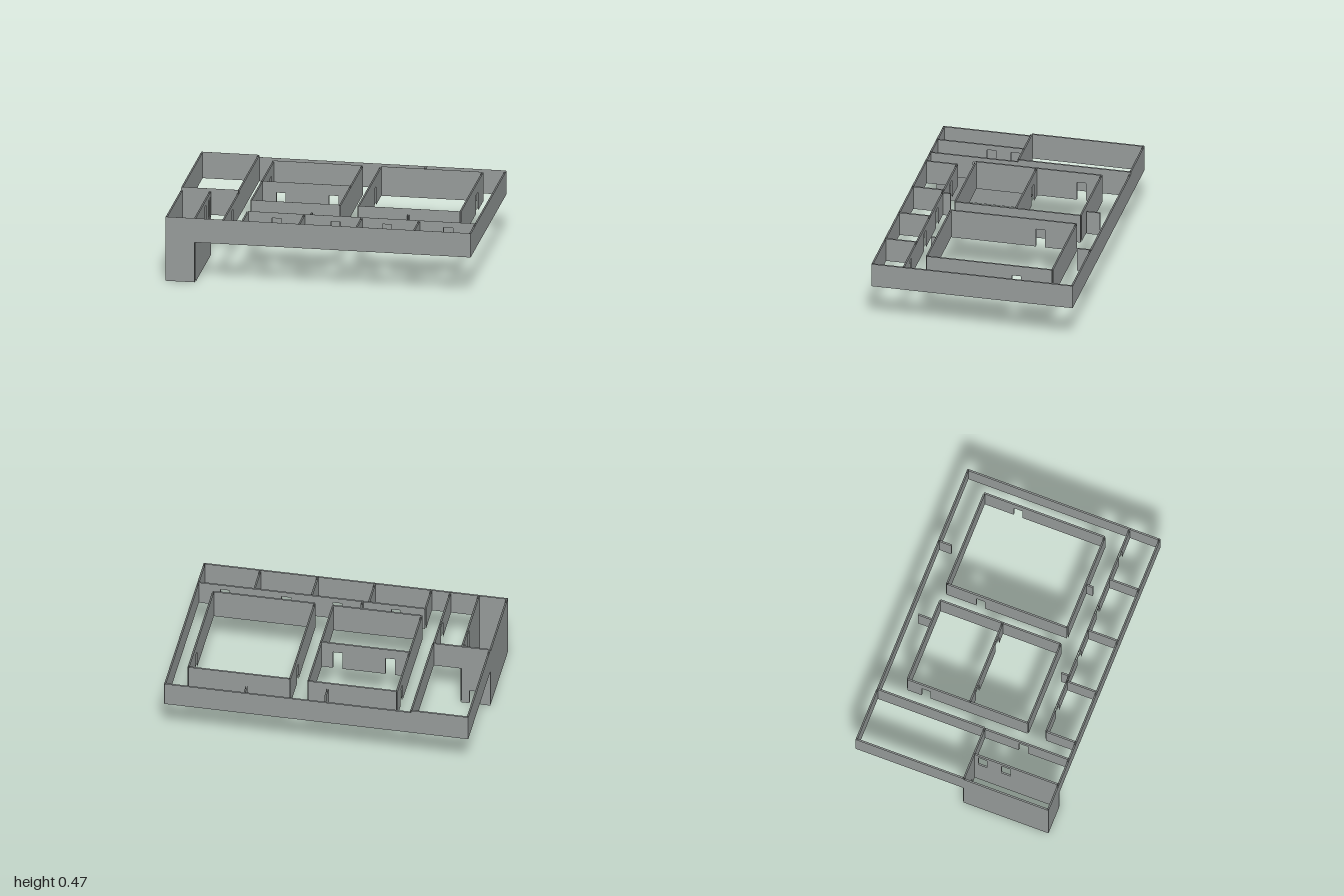
import * as THREE from 'three';

const T = 0.01; // wall thickness
const FLOOR = 0.27, LOW = 0.43, MID = 0.445, HIGH = 0.465;

export function createModel() {
  const model = new THREE.Group();
  const concrete = new THREE.MeshStandardMaterial({ color: 0x959a99, side: THREE.DoubleSide });
  concrete.name = 'concrete grey';

  // Outline in the wall plane; doors are notches in the bottom edge: [centre, width, height]
  function panel(a, b, y0, y1, doors) {
    const s = new THREE.Shape();
    s.moveTo(a, y0);
    for (const [c, w, h] of [...doors].sort((p, q) => p[0] - q[0])) {
      s.lineTo(c - w / 2, y0);
      s.lineTo(c - w / 2, y0 + h);
      s.lineTo(c + w / 2, y0 + h);
      s.lineTo(c + w / 2, y0);
    }
    s.lineTo(b, y0);
    s.lineTo(b, y1);
    s.lineTo(a, y1);
    s.closePath();
    return new THREE.ShapeGeometry(s);
  }

  // Uncapped wall of two sheets; axis 'x' runs along x at z = at, axis 'z' along z at x = at
  function wall(name, axis, at, a, b, y1, doors = [], y0 = FLOOR) {
    const g = new THREE.Group();
    g.name = name;
    for (const side of [-1, 1]) {
      const geo = axis === 'x'
        ? panel(a, b, y0, y1, doors)
        : panel(-b, -a, y0, y1, doors.map(([c, w, h]) => [-c, w, h])).rotateY(Math.PI / 2);
      if (side < 0) {
        // turn the back sheet to face outward
        const i = geo.index.array;
        for (let k = 0; k < i.length; k += 3) [i[k], i[k + 1]] = [i[k + 1], i[k]];
        geo.computeVertexNormals();
      }
      const off = at + side * T / 2;
      geo.translate(axis === 'x' ? 0 : off, 0, axis === 'x' ? off : 0);
      const mesh = new THREE.Mesh(geo, concrete);
      mesh.name = name + (side > 0 ? ' positive face' : ' negative face');
      g.add(mesh);
    }
    model.add(g);
  }

  const door = (c) => [c, 0.06, 0.125];
  const X0 = -0.995, X1 = 0.987, Z = 0.66;

  // Outer walls
  wall('frontWall', 'x', Z, -1, 0.99, LOW);
  wall('backWall', 'x', -Z, -0.625, 0.99, LOW);
  wall('backWallRaised', 'x', -Z, -1, -0.625, MID);
  wall('leftWall', 'z', X1, -0.665, 0.665, LOW);
  wall('rightWallFront', 'z', X0, 0.08, 0.665, LOW);
  wall('rightWallBack', 'z', X0, -0.665, 0.08, MID);

  // Lower stair shaft at the front right corner
  wall('shaftFront', 'x', Z, -1, -0.81, FLOOR, [], 0);
  wall('shaftBack', 'x', 0.08, -1, -0.81, FLOOR, [[-0.9, 0.07, 0.1]], 0);
  wall('shaftOuterSide', 'z', X0, 0.08, 0.665, FLOOR, [], 0);
  wall('shaftInnerSide', 'z', -0.81, 0.08, 0.665, FLOOR, [], 0);

  // Right wing partitions
  wall('wingCrossWall', 'x', 0.08, -1, -0.625, MID);
  wall('wingInnerWall', 'z', -0.81, 0.08, 0.665, LOW, [door(0.14), door(0.3)]);
  wall('wingLongWallBack', 'z', -0.625, -0.665, 0.08, MID);
  wall('wingLongWallFront', 'z', -0.625, 0.08, 0.665, LOW, [door(0.35)]);

  // Two raised blocks surrounded by the corridor
  const blocks = [
    ['middleBlock', -0.5, 0.08, [door(-0.37)], []],
    ['leftBlock', 0.2, 0.865, [door(-0.265)], [door(-0.265)]],
  ];
  for (const [name, a, b, doorsA, doorsB] of blocks) {
    wall(name + 'Front', 'x', 0.33, a, b, HIGH);
    wall(name + 'Back', 'x', -0.5, a, b, HIGH);
    wall(name + 'RightSide', 'z', a, -0.5, 0.33, HIGH, doorsA);
    wall(name + 'LeftSide', 'z', b, -0.5, 0.33, HIGH, doorsB);
  }
  wall('middleBlockDivider', 'x', -0.07, -0.5, 0.08, HIGH, [door(-0.374), door(-0.03)]);

  // Row of front rooms
  wall('frontRoomsWall', 'x', 0.455, -0.5, 0.99, LOW, [-0.31, 0.075, 0.41, 0.81].map(door));
  for (const x of [-0.5, -0.13, 0.245, 0.62]) wall('frontRoomPartition', 'z', x, 0.455, 0.665, LOW);

  // Short stubs narrowing the corridor
  const stubs = [[-0.05, -0.6, -0.51], [0.468, -0.66, -0.57], [-0.09, 0.4, 0.455], [0.53, 0.33, 0.38]];
  for (const [x, a, b] of stubs) wall('corridorStub', 'z', x, a, b, LOW);

  return model;
}
